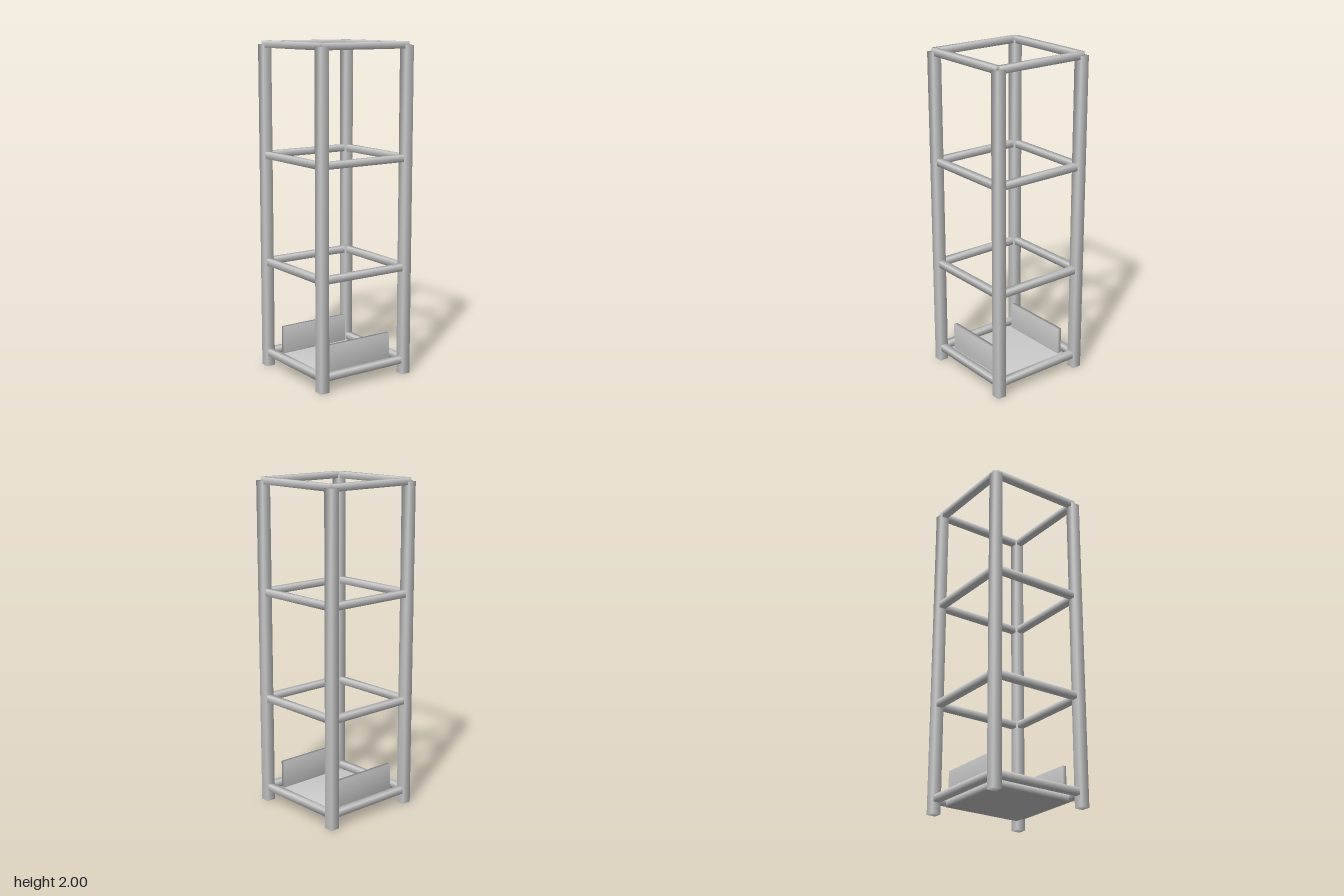
import * as THREE from 'three';
import { mergeVertices } from 'three/addons/utils/BufferGeometryUtils.js';

// Box with shared corners, so its normals blend smoothly across the edges
function softBox(w, h, d) {
  const box = new THREE.BoxGeometry(w, h, d);
  box.deleteAttribute('normal');
  box.deleteAttribute('uv');
  const geometry = mergeVertices(box);
  geometry.computeVertexNormals();
  return geometry;
}

export function createModel() {
  const group = new THREE.Group();
  const grey = new THREE.MeshStandardMaterial({ color: 0xcccccc });
  grey.name = 'lightGrey';

  function add(name, geometry, x, y, z) {
    const mesh = new THREE.Mesh(geometry, grey);
    mesh.name = name;
    mesh.position.set(x, y, z);
    group.add(mesh);
  }

  const half = 0.298; // frame centre line
  const postHeight = 1.98;

  // Corner posts
  const post = softBox(0.057, postHeight, 0.057);
  for (const x of [-half, half]) {
    for (const z of [-half, half]) add('cornerPost', post, x, postHeight / 2, z);
  }

  // Four rings of horizontal rails
  const crossRail = softBox(half * 2, 0.04, 0.04);
  const sideRail = softBox(0.04, 0.04, half * 2);
  for (const y of [0.087, 0.665, 1.323, 1.98]) {
    for (const s of [-half, half]) {
      add('crossRail', crossRail, 0, y, s);
      add('sideRail', sideRail, s, y, 0);
    }
  }

  // Floor platform with two upright side panels
  add('platform', softBox(0.495, 0.04, 0.495), 0, 0.06, 0);
  const panel = softBox(0.025, 0.17, 0.463);
  for (const x of [-0.232, 0.232]) add('sidePanel', panel, x, 0.165, 0);

  return group;
}
